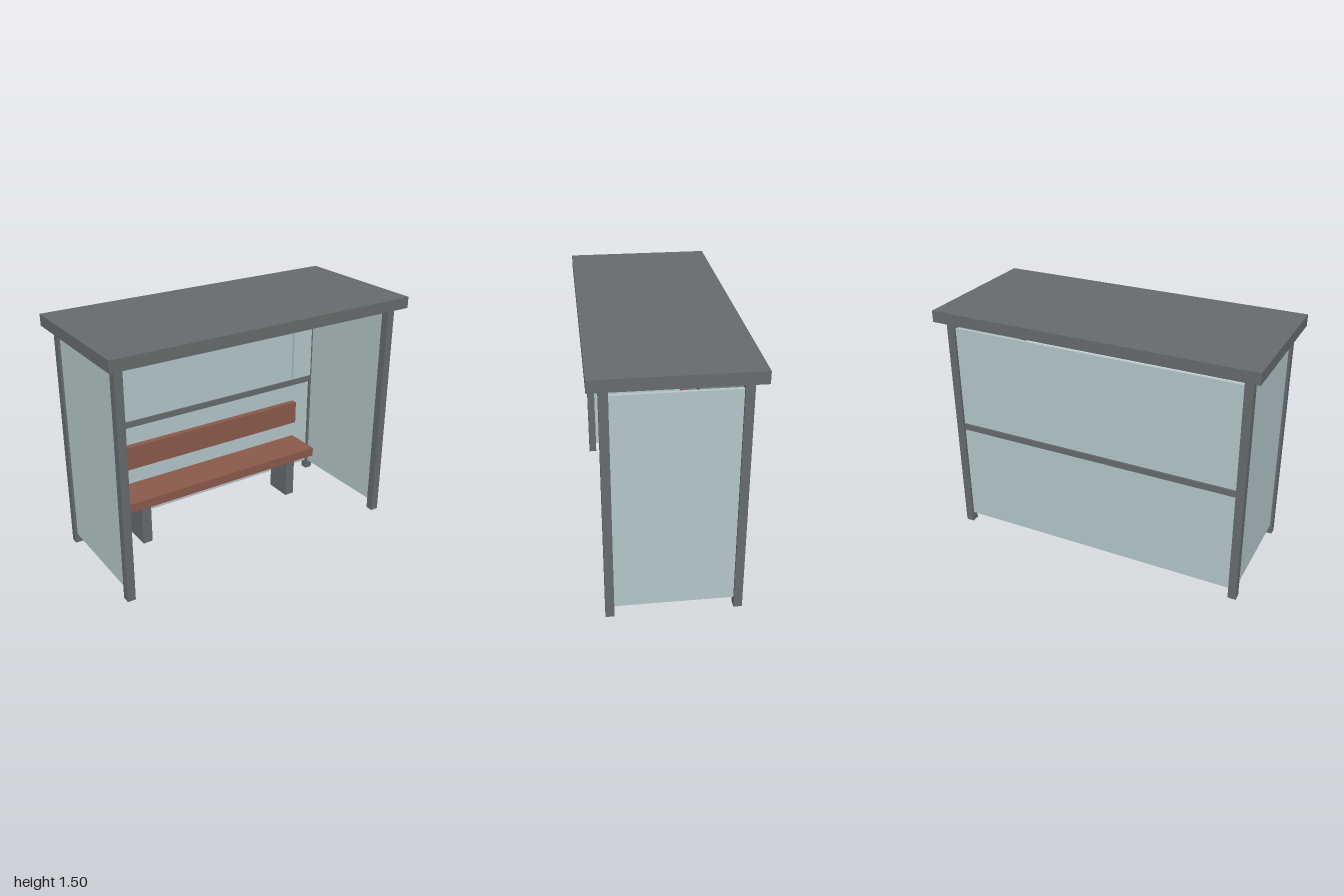
import * as THREE from 'three';

const frameGrey = new THREE.MeshStandardMaterial({ color: 0x666b6d });
frameGrey.name = 'frame grey';
const glassBlue = new THREE.MeshStandardMaterial({ color: 0xb3c6c9 });
glassBlue.name = 'glass blue';
const benchWood = new THREE.MeshStandardMaterial({ color: 0x8a5a4b });
benchWood.name = 'bench wood';

// Box given by its extents along each axis
function box(name, material, [x0, x1], [y0, y1], [z0, z1]) {
  const mesh = new THREE.Mesh(new THREE.BoxGeometry(x1 - x0, y1 - y0, z1 - z0), material);
  mesh.position.set((x0 + x1) / 2, (y0 + y1) / 2, (z0 + z1) / 2);
  mesh.name = name;
  return mesh;
}

// Extent of a given width around a centre
const around = (centre, width) => [centre - width / 2, centre + width / 2];

export function createModel() {
  const shelter = new THREE.Group();
  shelter.name = 'shelter';

  // Roof slab and back rail
  shelter.add(box('roof', frameGrey, [-1, 1], [1.43, 1.5], [-0.45, 0.45]));
  shelter.add(box('backRail', frameGrey, [-0.9, 0.9], [0.7, 0.74], around(-0.365, 0.04)));

  // Corner posts and side glass
  for (const side of [-1, 1]) {
    const label = side > 0 ? 'left' : 'right';
    for (const end of [-1, 1]) {
      shelter.add(box(`${label}${end > 0 ? 'Front' : 'Back'}Post`, frameGrey,
        around(side * 0.925, 0.05), [0, 1.43], around(end * 0.365, 0.05)));
    }
    shelter.add(box(`${label}Glass`, glassBlue,
      around(side * 0.925, 0.02), [0.06, 1.38], [-0.34, 0.34]));
  }

  // Back glass and the small notice panel inside it
  shelter.add(box('backGlass', glassBlue, [-0.9, 0.9], [0.06, 1.38], around(-0.365, 0.02)));
  shelter.add(box('noticePanel', glassBlue, [0.75, 0.9], [0.75, 1.2], [-0.355, -0.335]));

  // Bench
  const bench = new THREE.Group();
  bench.name = 'bench';
  bench.add(box('seat', benchWood, [-0.735, 0.735], [0.27, 0.33], [-0.305, -0.065]));
  bench.add(box('backrest', benchWood, [-0.735, 0.735], [0.445, 0.6], [-0.315, -0.275]));
  for (const side of [-1, 1]) {
    bench.add(box(side > 0 ? 'leftBenchLeg' : 'rightBenchLeg', frameGrey,
      around(side * 0.5625, 0.065), [0, 0.27], [-0.275, -0.095]));
  }
  shelter.add(bench);

  return shelter;
}
